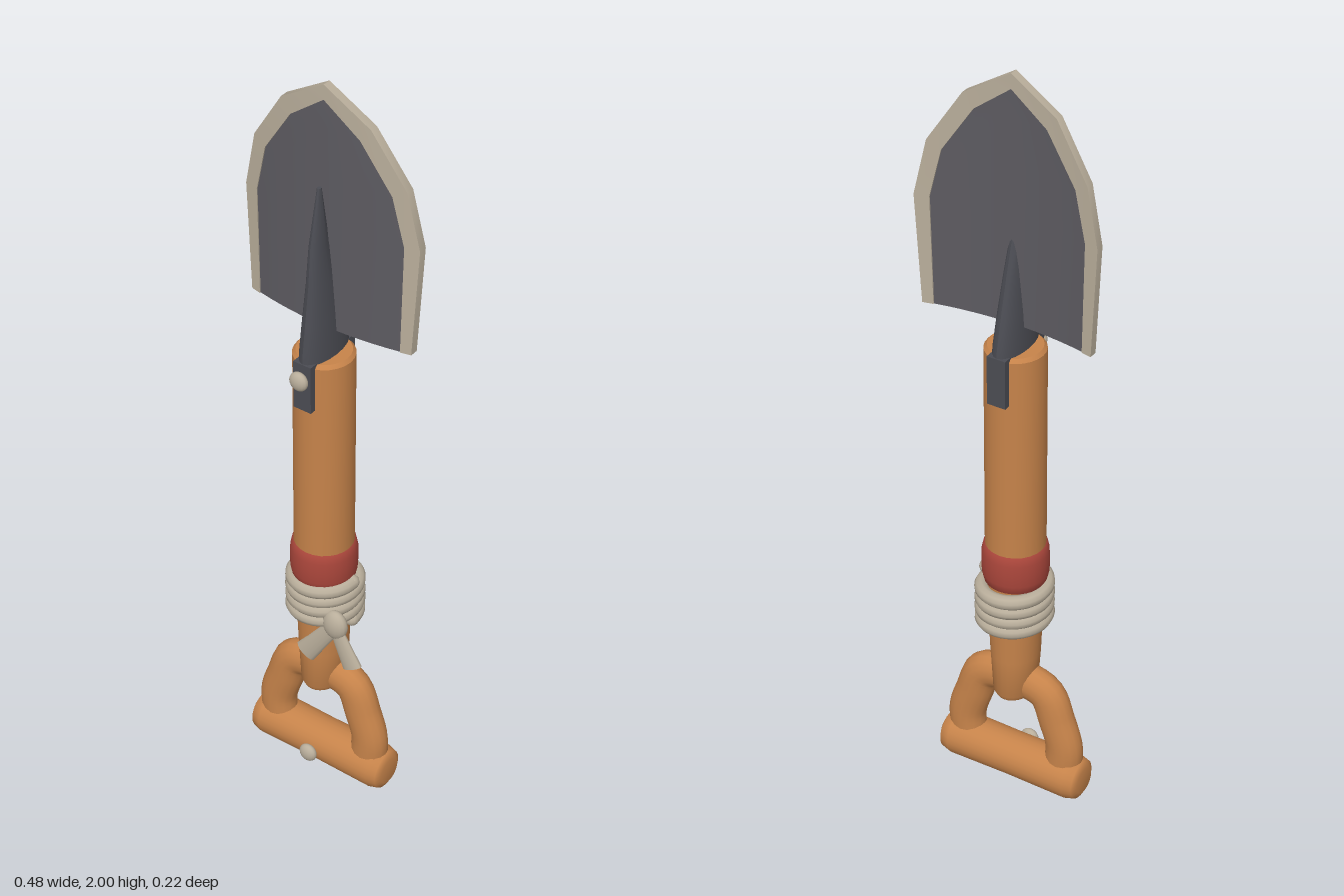
import * as THREE from 'three';
import { toCreasedNormals } from 'three/addons/utils/BufferGeometryUtils.js';

const mat = (name, hex) => {
  const m = new THREE.MeshStandardMaterial({ color: hex });
  m.name = name;
  return m;
};

// Moves every vertex of a geometry by a rule, then shades it with sharp edges kept
function reshape(geo, rule, crease = 0.6) {
  const p = geo.attributes.position;
  for (let i = 0; i < p.count; i++) {
    p.setXYZ(i, ...rule(p.getX(i), p.getY(i), p.getZ(i)));
  }
  geo.computeVertexNormals();
  return toCreasedNormals(geo, crease);
}

// Stack of elliptical rings, top to bottom: [y, centre z, radius x, radius z]
function loft(rings, sides) {
  const k = rings.length - 1;
  return reshape(new THREE.CylinderGeometry(1, 1, 1, sides, k), (x, y, z) => {
    const [ry, cz, rx, rz] = rings[Math.round((0.5 - y) * k)];
    return [x * rx, ry, cz + z * rz];
  });
}

export function createModel() {
  const wood = mat('wood', 0xc6834a);
  const steel = mat('blade steel', 0x5d5b61);
  const dark = mat('dark steel', 0x4b4c53);
  const rope = mat('rope and pale metal', 0xb9ae9b);
  const red = mat('red band', 0xaa463b);

  const group = new THREE.Group();
  const add = (name, geo, material, x = 0, y = 0, z = 0) => {
    const m = new THREE.Mesh(geo, material);
    m.name = name;
    m.position.set(x, y, z);
    group.add(m);
    return m;
  };
  const Z = -0.007; // axis of the shaft

  // Blade: curved plate with a pale sharpened rim on the sides and tip
  const inner = [[0.2, 1.36], [0.205, 1.645], [0.175, 1.77], [0.095, 1.89], [0, 1.962]];
  const outer = [[0.227, 1.36], [0.242, 1.645], [0.21, 1.79], [0.122, 1.925], [0, 2]];
  const bend = (x) => -0.015 - 0.52 * x * x;
  add('blade', reshape(new THREE.BoxGeometry(2, 1, 1, 12, 4, 1), (x, y, z) => {
    const [w, h] = inner[Math.round((y + 0.5) * 4)];
    return [x * w, h, bend(x * w) + z * 0.016];
  }), steel);
  const around = (side) => [...side, ...side.slice(0, 4).reverse().map(([x, y]) => [-x, y])];
  const rimIn = around(inner), rimOut = around(outer);
  add('bladeRim', reshape(new THREE.BoxGeometry(1, 1, 1, 1, 8, 1), (x, y, z) => {
    const i = Math.round((y + 0.5) * 8);
    const [px, py] = x < 0 ? rimIn[i] : rimOut[i];
    return [px, py, bend(px) + z * 0.022];
  }), rope);

  // Tang: tapering spine through the blade, with straps down the shaft
  add('tang', loft([
    [1.745, 0.012, 0.005, 0.006], [1.6, 0.014, 0.016, 0.032], [1.5, 0.004, 0.024, 0.05],
    [1.4, -0.002, 0.032, 0.069], [1.32, -0.006, 0.037, 0.083], [1.28, -0.007, 0.038, 0.085],
  ], 20), dark);
  for (const s of [1, -1]) {
    add(s > 0 ? 'frontStrap' : 'backStrap', new THREE.BoxGeometry(0.05, 0.13, 0.025), dark, 0, 1.235, Z + s * 0.074);
  }

  // Shaft, narrowing below the rope
  add('shaft', loft([
    [1.297, Z, 0.067, 0.067], [1.288, Z, 0.075, 0.075], [0.73, Z, 0.075, 0.075],
    [0.5, Z, 0.066, 0.07], [0.4, Z, 0.062, 0.066], [0.29, Z, 0.053, 0.064], [0.275, Z, 0.045, 0.056],
  ], 24), wood);

  // Red band
  const bandProfile = [[0.07, 0.625], [0.078, 0.627], [0.083, 0.65], [0.084, 0.68], [0.083, 0.71], [0.078, 0.732], [0.07, 0.734]]
    .map(([r, y]) => new THREE.Vector2(r, y));
  add('redBand', new THREE.LatheGeometry(bandProfile, 28), red, 0, 0, Z);

  // Rope wound around the shaft
  const coil = [];
  for (let i = 0; i <= 96; i++) {
    const a = (i / 96) * Math.PI * 8;
    coil.push(new THREE.Vector3(Math.cos(a) * 0.081, 0.508 + 0.119 * i / 96, Z - 0.005 - Math.sin(a) * 0.081));
  }
  add('ropeCoil', new THREE.TubeGeometry(new THREE.CatmullRomCurve3(coil), 160, 0.0185, 10), rope);
  for (const p of [coil[0], coil[96]]) {
    add('ropeCoilEnd', new THREE.SphereGeometry(0.0185, 12, 8), rope, p.x, p.y, p.z);
  }

  // Knot with two loose, flattened ends
  add('knot', new THREE.SphereGeometry(1, 16, 12), rope, 0.08, 0.535, 0.056).scale.set(0.035, 0.042, 0.022);
  for (const [x, y] of [[-0.008, 0.405], [0.134, 0.425]]) {
    const dx = x - 0.08, dy = y - 0.53;
    const end = add('ropeEnd', new THREE.CylinderGeometry(0.02, 0.03, Math.hypot(dx, dy), 14), rope,
      0.08 + dx / 2, 0.53 + dy / 2, 0.058);
    end.rotation.z = Math.atan2(dx, -dy);
    end.scale.z = 0.45;
  }

  // Handle: forked yoke and cross grip
  const half = [[0.14, 0.08], [0.143, 0.15], [0.122, 0.22], [0.092, 0.293], [0.045, 0.312]];
  const path = [...half, ...half.slice().reverse().map(([x, y]) => [-x, y])]
    .map(([x, y]) => new THREE.Vector3(x, y, 0));
  add('handleYoke', new THREE.TubeGeometry(new THREE.CatmullRomCurve3(path), 40, 0.05, 16), wood, 0, 0, Z)
    .scale.z = 0.8;
  const gripProfile = [[0, -0.204], [0.035, -0.204], [0.052, -0.195], [0.059, -0.17], [0.057, 0],
    [0.059, 0.17], [0.052, 0.195], [0.035, 0.204], [0, 0.204]].map(([r, y]) => new THREE.Vector2(r, y));
  add('handleGrip', new THREE.LatheGeometry(gripProfile, 24), wood, 0, 0.061, Z - 0.002).rotation.z = Math.PI / 2;

  // Rivets
  for (const [y, z] of [[1.26, 0.092], [0.064, 0.062]]) {
    add('rivet', new THREE.SphereGeometry(1, 16, 12), rope, 0, y, z).scale.set(0.025, 0.025, 0.015);
  }
  return group;
}
